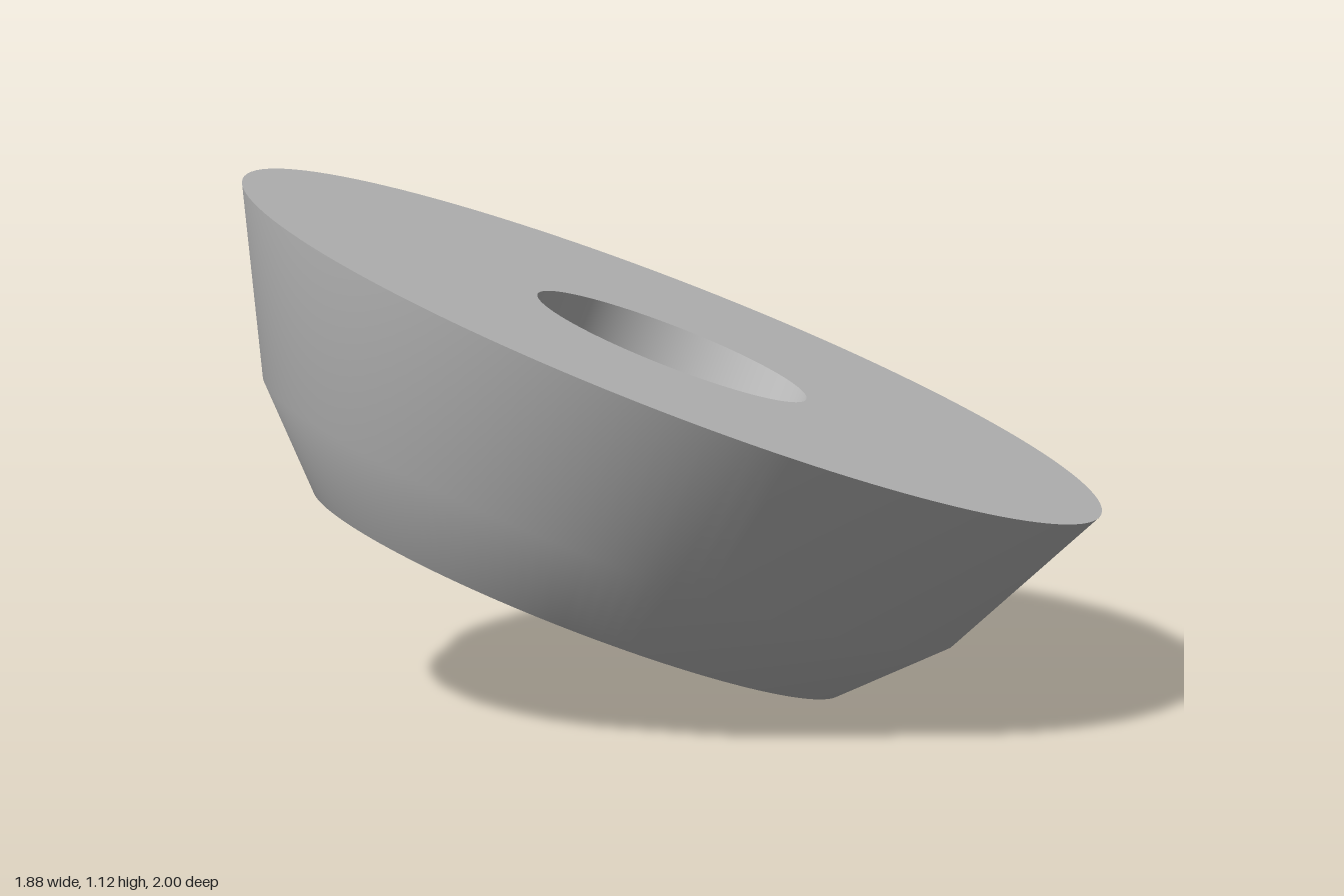
import * as THREE from 'three';

export function createModel() {
  const model = new THREE.Group();
  const grey = new THREE.MeshStandardMaterial({ color: 0xc0c0c0 });
  grey.name = 'grey';

  // Tilted body: local y is the axis of revolution, origin at the top face
  const body = new THREE.Group();
  body.name = 'taperedRing';
  const axis = new THREE.Vector3(0.353, 0.9326, 0.075).normalize();
  body.quaternion.setFromUnitVectors(new THREE.Vector3(0, 1, 0), axis);
  body.position.y = 0.757;
  model.add(body);

  const hole = 0.314, depth = 0.575;

  // Each section is its own lathe, so the rims stay sharp
  const addSection = (name, profile) => {
    const points = profile.map(([r, y]) => new THREE.Vector2(r, y));
    const mesh = new THREE.Mesh(new THREE.LatheGeometry(points, 128), grey);
    mesh.name = name;
    body.add(mesh);
  };
  addSection('bottomFace', [[hole, -depth], [0.615, -depth]]);
  addSection('outerWall', [[0.615, -depth], [0.807, -0.382], [1.003, 0]]);
  addSection('topFace', [[1.003, 0], [hole, 0]]);
  addSection('holeWall', [[hole, 0], [hole, -depth]]);

  return model;
}
